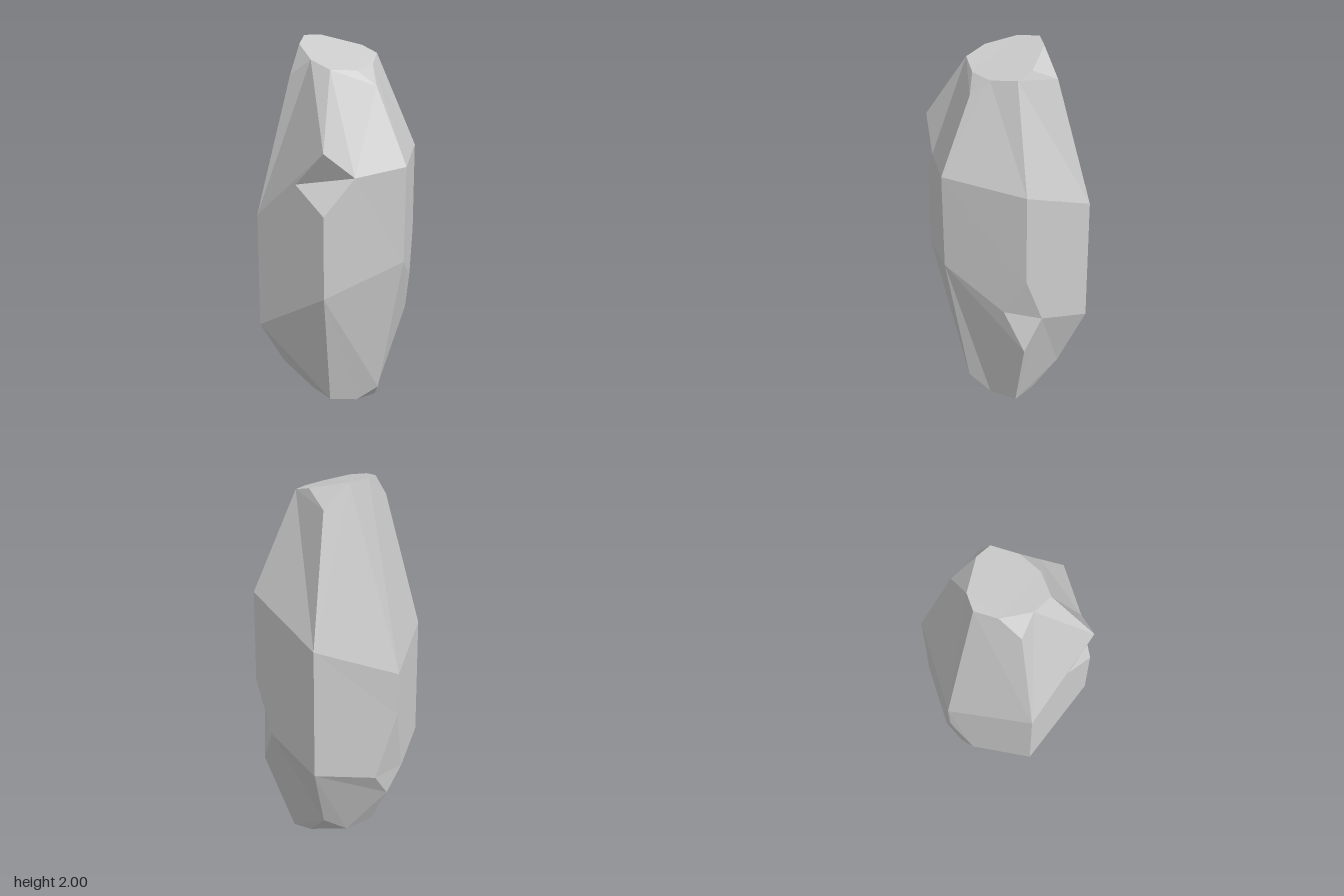
import * as THREE from 'three';

const v = (x, y, z) => new THREE.Vector3(x, y, z);

// A corner of the crystal: a = upper point, b = lower point, l / r = its ends on the
// neighbouring sides (as seen from outside). A sharp corner has all four in one place.
const sharp = (x, y, z) => { const p = v(x, y, z); return { a: p, b: p, l: p, r: p }; };
const clipped = (o, l, r) => { const p = v(...o); return { a: p, b: p, l: v(...l), r: v(...r) }; };
const notched = (a, b, l, r) => ({ a: v(...a), b: v(...b), l: v(...l), r: v(...r) });

// Six upright edges, from the front round to the left (+x); corners from top to bottom
const edges = [
  [ // front
    clipped([0, 1.82, 0.245], [-0.065, 1.9, 0.172], [0.065, 1.9, 0.172]),
    sharp(0, 1.44, 0.435),
    sharp(0, 0.92, 0.43),
    clipped([0, 0.13, 0.28], [-0.085, 0.06, 0.2], [0.08, 0.02, 0.2]),
  ],
  [ // front left
    sharp(0.19, 1.92, 0.105),
    sharp(0.385, 1.4, 0.217),
    notched([0.385, 0.915, 0.217], [0.355, 0.45, 0.2], [0.28, 0.7, 0.275], [0.385, 0.635, 0.105]),
    sharp(0.21, 0, 0.13),
  ],
  [ // back left
    clipped([0.225, 1.87, -0.127], [0.19, 1.945, 0.01], [0.085, 1.99, -0.165]),
    sharp(0.385, 1.2, -0.217),
    sharp(0.385, 0.51, -0.217),
    clipped([0.25, 0.16, -0.145], [0.21, 0.025, 0], [0.125, 0.075, -0.19]),
  ],
  [ // back
    sharp(0, 2, -0.212),
    sharp(0, 1.03, -0.435),
    notched([0, 0.8, -0.43], [0, 0.32, -0.365], [0.1, 0.45, -0.375], [-0.1, 0.45, -0.375]),
    sharp(0, 0.11, -0.25),
  ],
  [ // back right
    clipped([-0.218, 1.86, -0.124], [-0.105, 1.985, -0.157], [-0.19, 1.95, -0.015]),
    sharp(-0.385, 1.14, -0.217),
    sharp(-0.385, 0.51, -0.217),
    clipped([-0.27, 0.26, -0.15], [-0.1, 0.125, -0.19], [-0.21, 0.12, 0]),
  ],
  [ // front right
    sharp(-0.19, 1.92, 0.105),
    notched([-0.385, 1.57, 0.217], [-0.385, 1.24, 0.217], [-0.385, 1.37, 0.04], [-0.24, 1.42, 0.299]),
    sharp(-0.385, 0.79, 0.217),
    sharp(-0.22, 0.1, 0.125),
  ],
];

// Adds a polygon, triangulated as seen along "out" and turned to face that way
function addFacet(positions, points, out) {
  const loop = points.filter((p, i) => p !== points[(i + 1) % points.length]);
  if (loop.length < 3) return;
  const across = Math.abs(out.y) > 0.5 ? v(1, 0, 0) : v(0, 1, 0).cross(out).normalize();
  const up = out.clone().cross(across);
  const flat = loop.map((p) => new THREE.Vector2(p.dot(across), p.dot(up)));
  for (const [i, j, k] of THREE.ShapeUtils.triangulateShape(flat, [])) {
    const [a, b, c] = [loop[i], loop[j], loop[k]];
    const normal = b.clone().sub(a).cross(c.clone().sub(a));
    const tri = normal.dot(out) < 0 ? [a, c, b] : [a, b, c];
    tri.forEach((p) => positions.push(p.x, p.y, p.z));
  }
}

export function createModel() {
  const positions = [];
  const direction = (turn) => v(Math.sin(turn * Math.PI / 3), 0, Math.cos(turn * Math.PI / 3));

  edges.forEach((left, i) => {
    const right = edges[(i + 1) % 6];

    // Three long facets between this edge and the next
    for (let k = 0; k < 3; k++) {
      const [lt, lb, rt, rb] = [left[k], left[k + 1], right[k], right[k + 1]];
      addFacet(positions, [lt.r, lt.b, lb.a, lb.r, rb.l, rb.a, rt.b, rt.l], direction(i + 0.5));
    }

    // Chips broken out of this edge
    for (const c of left) {
      if (c.l === c.r) continue;
      addFacet(positions, [c.a, c.l, c.r], direction(i));
      if (c.a !== c.b) addFacet(positions, [c.b, c.r, c.l], direction(i));
    }
  });

  // Slanted end facets
  addFacet(positions, edges.flatMap((e) => [e[0].l, e[0].r]), v(0, 1, 0));
  addFacet(positions, edges.flatMap((e) => [e[3].l, e[3].r]), v(0, -1, 0));

  const geometry = new THREE.BufferGeometry();
  geometry.setAttribute('position', new THREE.Float32BufferAttribute(positions, 3));
  geometry.computeVertexNormals();

  const crystal = new THREE.Mesh(
    geometry,
    new THREE.MeshStandardMaterial({ color: 0xcccccc, flatShading: true }),
  );
  crystal.name = 'crystal';

  const group = new THREE.Group();
  group.name = 'chippedCrystal';
  group.add(crystal);
  return group;
}
